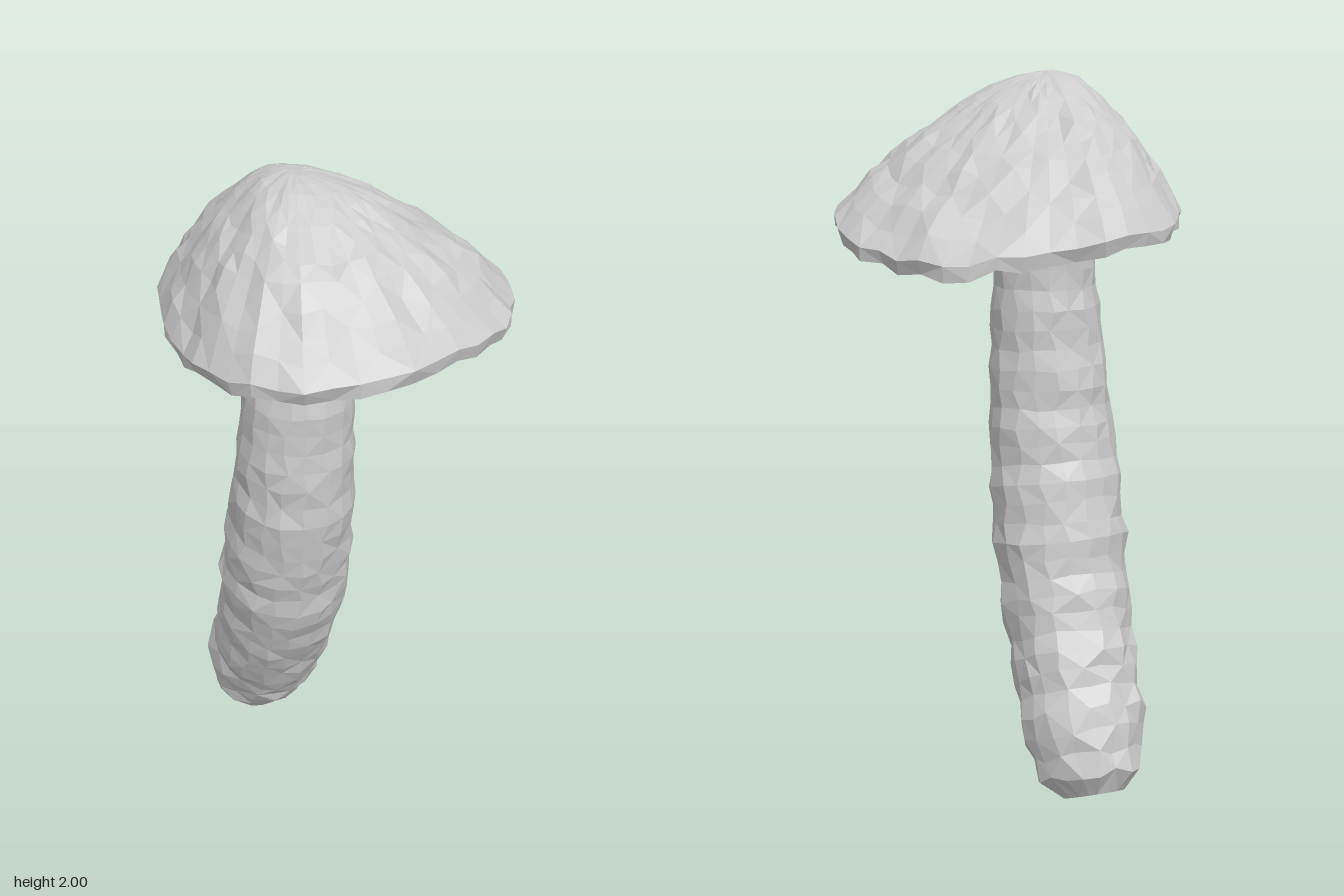
import * as THREE from 'three';

const V = (x, y, z) => new THREE.Vector3(x, y, z);

// small seeded generator, returns -1..1
function seeded(seed) {
  let s = seed;
  return () => {
    s = (s * 16807) % 2147483647;
    return (s / 2147483647) * 2 - 1;
  };
}

// joins closed rings of points (bottom to top) into a faceted skin
function loft(name, rings) {
  const n = rings[0].length;
  const pos = rings.flat().flatMap((p) => [p.x, p.y, p.z]);
  const index = [];
  for (let i = 0; i < rings.length - 1; i++) {
    for (let j = 0; j < n; j++) {
      const a = i * n + j, b = i * n + (j + 1) % n, c = a + n, d = b + n;
      if ((i + j) % 2) index.push(a, c, b, b, c, d);
      else index.push(a, d, b, a, c, d);
    }
  }
  const geo = new THREE.BufferGeometry();
  geo.setAttribute('position', new THREE.Float32BufferAttribute(pos, 3));
  geo.setIndex(index);
  geo.computeVertexNormals();
  const mesh = new THREE.Mesh(geo, new THREE.MeshStandardMaterial({ color: 0xcccccc, flatShading: true }));
  mesh.name = name;
  return mesh;
}

// linear lookup in a list of [key, value] pairs
function lookup(table, k) {
  for (let i = 1; i < table.length; i++) {
    const [k0, v0] = table[i - 1], [k1, v1] = table[i];
    if (k <= k1) return v0 + (v1 - v0) * (k - k0) / (k1 - k0);
  }
  return table[table.length - 1][1];
}

// bent stem: rings square to a curved centre line
function createStem() {
  const rnd = seeded(71);
  const path = new THREE.CatmullRomCurve3([
    V(-0.26, 0.045, -0.345), V(-0.23, 0.2, -0.275), V(-0.19, 0.4, -0.17), V(-0.16, 0.6, -0.09),
    V(-0.14, 0.8, -0.04), V(-0.12, 1.0, 0), V(-0.11, 1.2, 0.015), V(-0.1, 1.4, 0.02), V(-0.1, 1.64, 0.02),
  ]);
  const radius = [[0, 0.085], [0.03, 0.135], [0.09, 0.17], [0.25, 0.176], [0.45, 0.19], [0.6, 0.18],
    [0.75, 0.162], [0.9, 0.142], [1, 0.133]];
  const rows = 30, sides = 18;
  const rings = [Array(sides).fill(path.getPointAt(0))];
  for (let i = 0; i <= rows; i++) {
    const t = i / rows;
    const c = path.getPointAt(t), T = path.getTangentAt(t);
    const U = V(1, 0, 0).addScaledVector(T, -T.x).normalize();
    const W = U.clone().cross(T);
    const rough = i === 0 ? 0 : 0.009 * (1.2 - t);
    const ringSwell = 0.004 * Math.sin(i * 2.1);
    const ring = [];
    for (let j = 0; j < sides; j++) {
      const a = (j + 0.2 * rnd()) / sides * Math.PI * 2;
      const r = lookup(radius, t) + (i ? ringSwell : 0) + rough * rnd();
      ring.push(c.clone().addScaledVector(U, r * Math.cos(a)).addScaledVector(W, r * Math.sin(a))
        .addScaledVector(T, rough * rnd()));
    }
    rings.push(ring);
  }
  rings.push(Array(sides).fill(path.getPointAt(1)));
  return loft('stem', rings);
}

// lopsided cap: underside, ragged lip and dome all follow one rim curve
function createCap() {
  const rnd = seeded(1234);
  const rim = new THREE.CatmullRomCurve3([
    V(0.46, 1.65, 0.1), V(0.4, 1.67, 0.28), V(0.2, 1.67, 0.44), V(0.04, 1.65, 0.49),
    V(-0.13, 1.64, 0.49), V(-0.28, 1.63, 0.42), V(-0.41, 1.62, 0.22), V(-0.45, 1.63, 0.06),
    V(-0.465, 1.63, -0.13), V(-0.42, 1.62, -0.34), V(-0.33, 1.61, -0.44), V(-0.19, 1.58, -0.48),
    V(0.06, 1.55, -0.495), V(0.26, 1.55, -0.42), V(0.41, 1.58, -0.28), V(0.465, 1.63, -0.13),
  ], true);
  const sides = 46;
  const edge = rim.getSpacedPoints(sides).slice(0, sides).map((p) => {
    const k = 1 + 0.017 * rnd();
    return V(p.x * k, p.y + 0.01 * rnd(), p.z * k);
  });
  const lip = edge.map((p) => V(p.x * (0.985 + 0.02 * rnd()), p.y - 0.038 + 0.007 * rnd(), p.z * (0.985 + 0.02 * rnd())));
  const under = V(-0.1, 1.6, 0.02), apex = V(-0.1, 2, 0.01);
  const rings = [];

  // underside, slightly hollow
  for (const t of [0, 0.25, 0.5, 0.75]) {
    rings.push(lip.map((p) => {
      const q = under.clone().lerp(p, t);
      q.y += t ? 0.012 * Math.sin(t * Math.PI) + 0.006 * rnd() : 0;
      return q;
    }));
  }
  rings.push(lip, edge);

  // dome, fuller towards the front and the right-hand side
  const height = [[0, 1], [0.1, 0.99], [0.2, 0.955], [0.3, 0.89], [0.4, 0.8], [0.66, 0.52], [0.86, 0.23], [1, 0]];
  const steps = 12;
  for (let i = steps - 1; i >= 0; i--) {
    const t = i / steps;
    rings.push(edge.map((p, j) => {
      const rough = i ? 0.012 * Math.min(1, t * 1.5) : 0;
      const full = 0.04 * Math.sin(Math.PI * t) * (p.z - p.x) / 0.5;
      const ridge = i ? 0.006 * Math.sin(j * 0.9 + i * 1.3) * t : 0;
      const k = t + rough * rnd();
      const h = lookup(height, t) + full;
      return V(
        apex.x + (p.x - apex.x) * k,
        p.y + (apex.y - p.y) * h + rough * 0.8 * rnd() + ridge,
        apex.z + (p.z - apex.z) * k,
      );
    }));
  }
  return loft('cap', rings);
}

export function createModel() {
  const model = new THREE.Group();
  model.name = 'mushroom';
  model.add(createStem(), createCap());
  return model;
}
